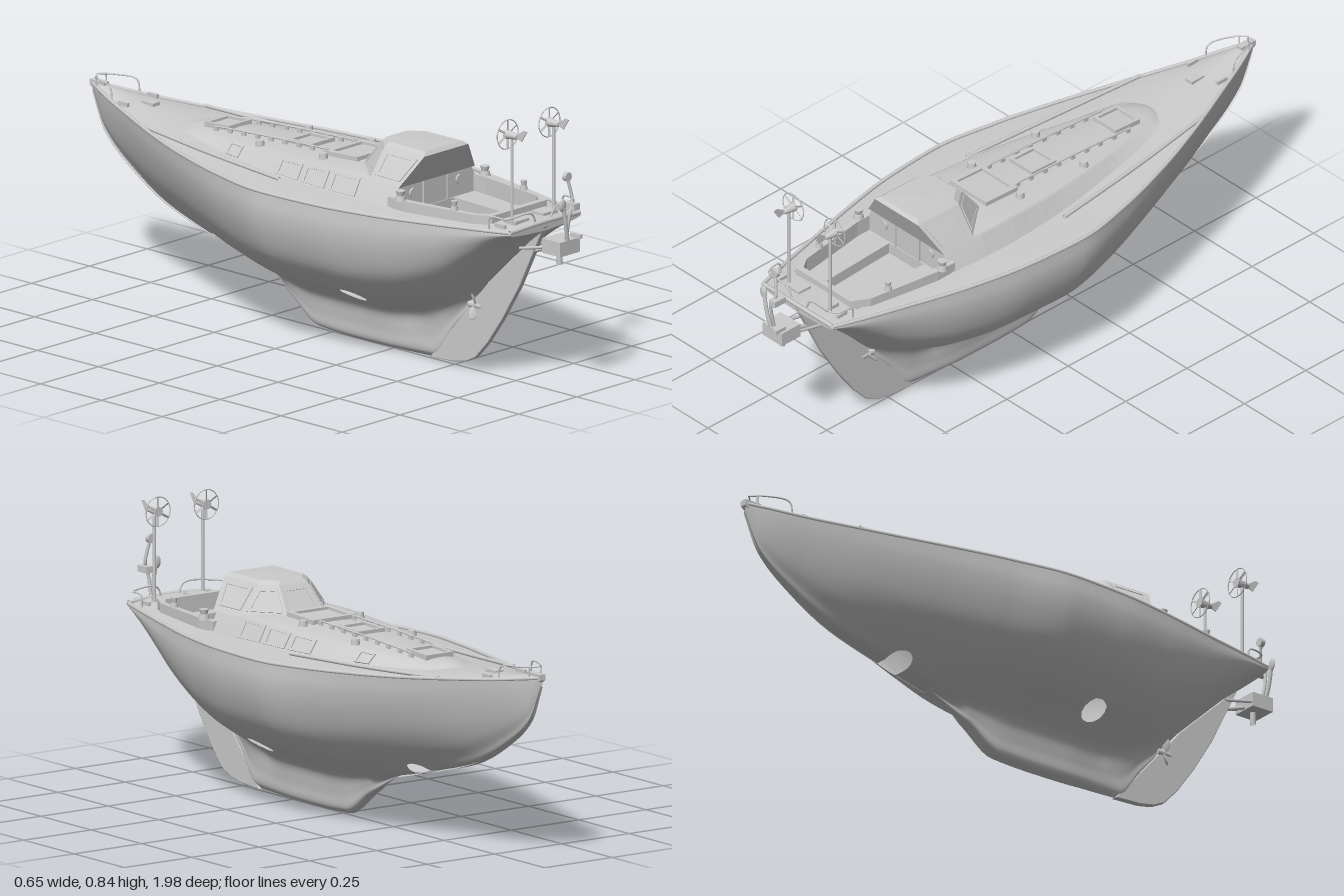
import * as THREE from 'three';

const mat = new THREE.MeshStandardMaterial({ color: 0xcccccc, side: THREE.DoubleSide });
const V = (x, y, z) => new THREE.Vector3(x, y, z);
const lerp = THREE.MathUtils.lerp;

// Smooth monotone interpolation through [z, value] pairs
function table(p) {
  const n = p.length, s = [], m = [];
  for (let i = 0; i < n - 1; i++) s.push((p[i + 1][1] - p[i][1]) / (p[i + 1][0] - p[i][0]));
  for (let i = 0; i < n; i++) {
    if (i === 0 || i === n - 1) m.push(s[Math.min(i, n - 2)]);
    else m.push(s[i - 1] * s[i] <= 0 ? 0 : 2 * s[i - 1] * s[i] / (s[i - 1] + s[i]));
  }
  return z => {
    let i = 0;
    while (i < n - 2 && z > p[i + 1][0]) i++;
    const h = p[i + 1][0] - p[i][0], t = THREE.MathUtils.clamp((z - p[i][0]) / h, 0, 1), t2 = t * t, t3 = t2 * t;
    return (2 * t3 - 3 * t2 + 1) * p[i][1] + (t3 - 2 * t2 + t) * h * m[i] + (3 * t2 - 2 * t3) * p[i + 1][1] + (t3 - t2) * h * m[i + 1];
  };
}

// Surface through rows of points; keep() may drop triangles
function loft(rows, flat = false, keep = () => true) {
  const w = rows[0].length, pts = rows.flat(), idx = [];
  const tri = (a, b, c) => { if (keep(pts[a], pts[b], pts[c])) idx.push(a, b, c); };
  for (let i = 0; i < rows.length - 1; i++) for (let j = 0; j < w - 1; j++) {
    const a = i * w + j, b = a + w;
    tri(a, b, a + 1); tri(b, b + 1, a + 1);
  }
  let g = new THREE.BufferGeometry().setFromPoints(pts);
  g.setIndex(idx);
  if (flat) g = g.toNonIndexed();
  g.computeVertexNormals();
  return g;
}

// Hull lines: half beam, sheer, canoe-body bottom, keel bottom, keel half width
const beam = table([[-.985, .006], [-.9, .045], [-.8, .085], [-.6, .165], [-.4, .235], [-.2, .29], [0, .323], [.2, .312], [.4, .278], [.6, .228], [.8, .175], [.87, .153]]);
const sheer = table([[-.985, .572], [-.8, .547], [-.4, .515], [0, .502], [.4, .5], [.87, .51]]);
const body = table([[-.985, .55], [-.93, .44], [-.82, .35], [-.66, .265], [-.48, .212], [-.29, .165], [-.15, .138], [0, .13], [.25, .13], [.4, .152], [.5, .19], [.6, .25], [.7, .34], [.8, .435], [.87, .492]]);
const keel = table([[-.985, .55], [-.48, .212], [-.29, .165], [-.155, .085], [-.04, .008], [.1, .002], [.42, .01], [.5, .11], [.6, .23], [.66, .303], [.87, .492]]);
const keelW = table([[-.3, .015], [0, .033], [.2, .033], [.45, .014], [.66, .006]]);
const roundX = [1, 1.005, .96, .84, .61, .34], veeX = [1, .92, .79, .6, .4, .2], fracY = [1, .84, .65, .43, .24, .1];
function section(z) {
  const hb = beam(z), cb = body(z), kb = Math.min(cb, z < -.45 || z > .66 ? cb : keel(z)), H = sheer(z) - cb;
  const v = THREE.MathUtils.clamp(-z, 0, .8), kh = cb - kb, w = keelW(z) * Math.min(1, kh / .05);
  const p = fracY.map((f, i) => V(hb * lerp(roundX[i], veeX[i], v), cb + H * f, z));
  p.push(V(Math.max(hb * .12, w * 1.5), cb + H * .015 - kh * .08, z), V(w, cb - kh * .5, z), V(w * .75, cb - kh * .88, z), V(0, kb, z));
  return new THREE.CatmullRomCurve3(p, false, 'centripetal');
}
const deckY = (x, z) => sheer(z) + .014 * (1 - (x / beam(z)) ** 2);

// Through openings in the hull: centre z, y and radii
const holes = [[.22, .19, .038, .023], [-.43, .203, .038, .028]];
const holeDist = (p, h) => Math.hypot((p.z - h[0]) / h[2], (p.y - h[1]) / h[3]);
function hullPoint(z, t) {
  let p = section(z).getPoint(t);
  for (const h of holes) {
    const d = holeDist(p, h);
    if (d > .65 && d < 1) {
      const z2 = h[0] + (p.z - h[0]) / d, y2 = h[1] + (p.y - h[1]) / d, c = section(z2);
      let a = 0, b = 1;
      for (let k = 0; k < 16; k++) { const m = (a + b) / 2; if (c.getPoint(m).y > y2) a = m; else b = m; }
      p = c.getPoint(a);
    }
  }
  return p;
}

export function createModel() {
  const root = new THREE.Group();
  const add = (name, geo, parent = root) => { const m = new THREE.Mesh(geo, mat); m.name = name; parent.add(m); return m; };
  const box = (name, w, h, d, x, y, z, parent) => { const m = add(name, new THREE.BoxGeometry(w, h, d), parent); m.position.set(x, y, z); return m; };
  const cyl = (name, r0, r1, h, x, y, z, parent) => { const m = add(name, new THREE.CylinderGeometry(r0, r1, h, 16), parent); m.position.set(x, y, z); return m; };
  const tube = (name, pts, r, n = 24) => add(name, new THREE.TubeGeometry(new THREE.CatmullRomCurve3(pts, false, 'centripetal'), n, r, 8));
  const both = f => [1, -1].forEach(f);

  // Raised frame with a pane, fitted inside four corners
  function frame(name, q, s0 = .9, s1 = .7, th = .005) {
    const c = q.reduce((a, p) => a.add(p), V(0, 0, 0)).multiplyScalar(.25);
    const n = q[2].clone().sub(q[0]).cross(q[3].clone().sub(q[1])).normalize();
    if (n.dot(c.clone().sub(V(0, .45, .35))) < 0) n.negate();
    const ring = (s, h) => [0, 1, 2, 3, 0].map(i => c.clone().lerp(q[i], s).addScaledVector(n, h));
    return add(name, loft([ring(s0, -th), ring(s0, th), ring(s1, th), ring(s1, .001), ring(0, .001)], true));
  }

  // Hull
  const rows = [];
  for (let i = 0; i <= 180; i++) {
    const z = lerp(-.985, .87, i / 180), half = [];
    for (let j = 0; j <= 48; j++) half.push(hullPoint(z, j / 48));
    rows.push([...half, ...half.slice(0, -1).reverse().map(p => V(-p.x, p.y, p.z))]);
  }
  add('hull', loft(rows, false, (a, b, c) => {
    const m = a.clone().add(b).add(c).divideScalar(3);
    return holes.every(h => holeDist(m, h) > .97);
  }));
  const stern = rows[180];
  add('transom', loft([stern, stern.map(p => V(p.x, deckY(p.x, .87), .87))], true));

  // Deck around the cockpit opening
  const wellHalf = z => lerp(.175, .135, (z - .42) / .335);
  function deck(z0, z1, n, inner) {
    both(s => {
      const r = [];
      for (let i = 0; i <= n; i++) {
        const z = lerp(z0, z1, i / n);
        r.push([...Array(7).keys()].map(k => { const x = lerp(beam(z), inner(z), k / 6); return V(s * x, deckY(x, z), z); }));
      }
      add('deck', loft(r));
    });
  }
  deck(-.985, .42, 70, () => 0);
  deck(.42, .755, 16, wellHalf);
  deck(.755, .87, 6, () => 0);
  both(s => {
    const edge = [];
    for (let i = 0; i <= 30; i++) { const z = lerp(-.98, .868, i / 30); edge.push(V(s * (beam(z) - .003), sheer(z) + .004, z)); }
    tube('toeRail', edge, .006, 90);
    tube('sheetTrack', [[.14, -.66], [.178, -.35], [.212, -.02]].map(([x, z]) => V(s * x, deckY(x, z) + .006, z)), .006);
  });
  tube('sternRail', [V(-.15, .515, .868), V(0, .522, .875), V(.15, .515, .868)], .007);

  // Rudder and propeller
  const blade = new THREE.Shape([[.87, .5], [.77, .3], [.7, .185], [.64, .1], [.59, .045], [.55, .025], [.5, .015], [.41, .01], [.6, .23], [.66, .3], [.8, .43]].map(p => new THREE.Vector2(...p)));
  add('rudder', new THREE.ExtrudeGeometry(blade, { depth: .012, bevelEnabled: true, bevelSize: .003, bevelThickness: .004, bevelSegments: 2 }).rotateY(-Math.PI / 2).translate(.006, 0, 0));
  const prop = new THREE.Group(); prop.name = 'propeller'; prop.position.set(0, .205, .59); root.add(prop);
  cyl('hub', .012, .014, .05, 0, 0, 0, prop).rotation.x = Math.PI / 2;
  for (let i = 0; i < 3; i++) {
    const arm = new THREE.Group(); arm.rotation.z = i * Math.PI * 2 / 3 + .5; prop.add(arm);
    const b = add('propellerBlade', new THREE.SphereGeometry(1, 12, 8), arm);
    b.scale.set(.015, .024, .003); b.position.y = .025; b.rotation.y = .6;
  }

  // Coachroof
  const cabW = table([[-.6, .085], [-.3, .145], [0, .188], [.2, .198], [.42, .188]]);
  const cabY = table([[-.6, .528], [-.54, .55], [-.3, .565], [0, .576], [.2, .584], [.42, .584]]);
  const side = (z, s, sgn = 1) => { const w = cabW(z), y0 = deckY(w, z) - .004; return V(sgn * (w - .036 * s), lerp(y0, cabY(z) - .012, s), z); };
  const roofY = (x, z) => cabY(z) - .012 * (x / (cabW(z) - .036)) ** 2;
  const cab = [];
  for (let i = 0; i <= 36; i++) {
    const z = lerp(-.6, .42, i / 36), r = [side(z, 0), side(z, .92)];
    for (let k = 0; k <= 10; k++) { const x = (cabW(z) - .042) * (1 - k / 5); r.push(V(x, roofY(x, z), z)); }
    cab.push([...r, side(z, .92, -1), side(z, 0, -1)]);
  }
  add('coachroof', loft(cab));
  add('cockpitBulkhead', loft([cab[36], cab[36].map(p => V(p.x, .44, .42))], true));
  both(s => {
    for (const [a, b] of [[-.31, -.25], [-.07, .03], [.045, .145], [.16, .27]])
      frame('cabinWindow', [side(a, .15, s), side(b, .15, s), side(b, .9, s), side(a, .9, s)], 1, .75, .004);
    // Grab rail standing on short feet
    tube('grabRail', [-.42, -.2, .03].map(z => V(s * .062, roofY(.062, z) + .013, z)), .003);
    for (let i = 0; i <= 8; i++) { const z = lerp(-.42, .03, i / 8); box('railFoot', .007, .016, .016, s * .062, roofY(.062, z) + .006, z); }
    for (const z of [-.2, .06]) { cyl('ventilator', .012, .014, .018, s * .105, roofY(.105, z) + .008, z); }
  });
  const hatch = (z, w, d) => frame('hatch', [[-1, -1], [1, -1], [1, 1], [-1, 1]].map(([i, k]) => V(i * w, cabY(z + k * d) + .002, z + k * d)), 1, .78, .009);
  hatch(-.43, .05, .05); hatch(-.09, .05, .05); hatch(.11, .08, .065);
  box('foredeckHatch', .03, .01, .05, 0, deckY(0, -.75) + .003, -.75);

  // Pilothouse
  const mirrorRing = (p, y) => [...p.map(([x, z]) => V(x, y, z)), ...p.slice().reverse().map(([x, z]) => V(-x, y, z)), V(p[0][0], y, p[0][1])];
  const base = mirrorRing([[.165, .425], [.16, .3], [.07, .18]], .567);
  const eave = mirrorRing([[.095, .465], [.092, .3], [.052, .25]], .658);
  const roof = mirrorRing([[.08, .455], [.078, .305], [.042, .262]], .669);
  add('pilothouse', loft([base, eave, roof, roof.map(() => V(0, .672, .37))], true));
  for (let i = 0; i < 5; i++) {
    const lo = j => base[j].clone().lerp(eave[j], .1), hi = j => base[j].clone().lerp(eave[j], .95);
    frame('pilothouseWindow', [lo(i), lo(i + 1), hi(i + 1), hi(i)], .82, .64, .003);
  }
  frame('companionwayDoor', [V(-.055, .46, .421), V(.055, .46, .421), V(.055, .575, .421), V(-.055, .575, .421)], 1, .85, .004);
  both(s => cyl('instrument', .015, .015, .006, s * .1, .54, .424).rotation.x = Math.PI / 2);

  // Cockpit: coaming, seats and sole
  const outline = g => [[.165 + g, .42 - g], [.165 + g, .47], [.13 + g, .71], [.105 + g * .7, .745 + g], [-.105 - g * .7, .745 + g], [-.13 - g, .71], [-.165 - g, .47], [-.165 - g, .42 - g]].map(p => new THREE.Vector2(...p));
  const slab = (name, outer, inner, top, h) => {
    const s = new THREE.Shape(outer); if (inner) s.holes.push(new THREE.Path(inner));
    return add(name, new THREE.ExtrudeGeometry(s, { depth: h, bevelEnabled: false }).rotateX(Math.PI / 2).translate(0, top, 0));
  };
  const well = [[.075, .425], [.06, .7], [-.06, .7], [-.075, .425]].map(p => new THREE.Vector2(...p));
  slab('coaming', outline(.02), outline(0), .54, .085);
  slab('cockpitSeats', outline(.003), well, .488, .035);
  slab('cockpitSole', well, null, .452, .006);
  both(s => {
    for (const [x, z, r] of [[.182, .45, .017], [.15, .64, .012]]) {
      cyl('winchBase', r * .8, r, .016, s * x, .546, z);
      cyl('winchDrum', r * .85, r * .6, .016, s * x, .561, z);
    }
    for (const z of [-.8, .81]) box('mooringCleat', .01, .012, .04, s * beam(z) * .75, deckY(beam(z) * .75, z) + .006, z);
    box('sternLocker', .06, .015, .05, s * .06, .523, .81);
    // Stern pushpit
    tube('pushpit', [V(s * .158, .515, .79), V(s * .158, .55, .795), V(s * .145, .552, .85), V(s * .05, .552, .862), V(s * .03, .515, .862)], .003);
    // Bow pulpit
    tube('pulpit', [V(s * .06, .555, -.85), V(s * .058, .597, -.86), V(s * .035, .604, -.93), V(0, .606, -.968)], .0025);
    tube('pulpitLeg', [V(s * .02, .565, -.95), V(s * .022, .606, -.953)], .0025, 2);
  });
  box('bowRoller', .022, .018, .06, 0, .578, -.96);
  cyl('bowSheave', .013, .013, .02, 0, .575, -.977).rotation.z = Math.PI / 2;

  // Wind generators
  both(s => {
    const g = new THREE.Group(); g.name = 'windGenerator'; g.position.set(s * .09, .795, .82); root.add(g);
    cyl('pole', .005, .005, .29, 0, -.145, 0, g);
    cyl('nacelle', .008, .015, .045, 0, 0, 0, g).rotation.x = Math.PI / 2;
    add('rotorRing', new THREE.TorusGeometry(.045, .0018, 6, 40), g).position.z = -.018;
    for (let i = 0; i < 6; i++) {
      const arm = new THREE.Group(); arm.rotation.z = i * Math.PI / 3; arm.position.z = -.018; g.add(arm);
      box('rotorBlade', .007, .045, .002, 0, .0225, 0, arm).rotation.y = .5;
    }
    const fin = new THREE.Shape([[.02, -.004], [.04, -.012], [.062, .022], [.05, .025], [.02, .006]].map(p => new THREE.Vector2(...p)));
    add('tailFin', new THREE.ExtrudeGeometry(fin, { depth: .003, bevelEnabled: false }).rotateY(-Math.PI / 2).translate(.0015, 0, 0), g);
  });

  // Self-steering gear on the stern
  box('steeringBox', .085, .045, .075, 0, .46, .935);
  both(s => tube('steeringBracket', [V(s * .035, .46, .93), V(s * .035, .43, .8)], .005, 2));
  tube('steeringStrut', [V(0, .45, .91), V(0, .4, .77)], .006, 2);
  tube('servoOar', [V(0, .45, .93), V(0, .4, .93)], .009, 4);
  tube('vaneMast', [V(-.005, .48, .96), V(-.002, .57, .975), V(.012, .6, .97), V(.008, .64, .965), V(0, .675, .96)], .005);
  cyl('vaneHead', .014, .014, .014, 0, .677, .96).rotation.x = Math.PI / 2;
  tube('paddleArm', [V(-.008, .48, .97), V(-.022, .54, .975), V(-.033, .6, .975)], .006);
  const paddle = add('paddle', new THREE.SphereGeometry(1, 16, 10));
  paddle.scale.set(.014, .02, .006); paddle.position.set(-.035, .598, .975);
  box('vaneClamp', .025, .02, .045, .015, .585, .965);
  box('steeringLever', .012, .012, .04, .03, .49, .97);
  return root;
}
